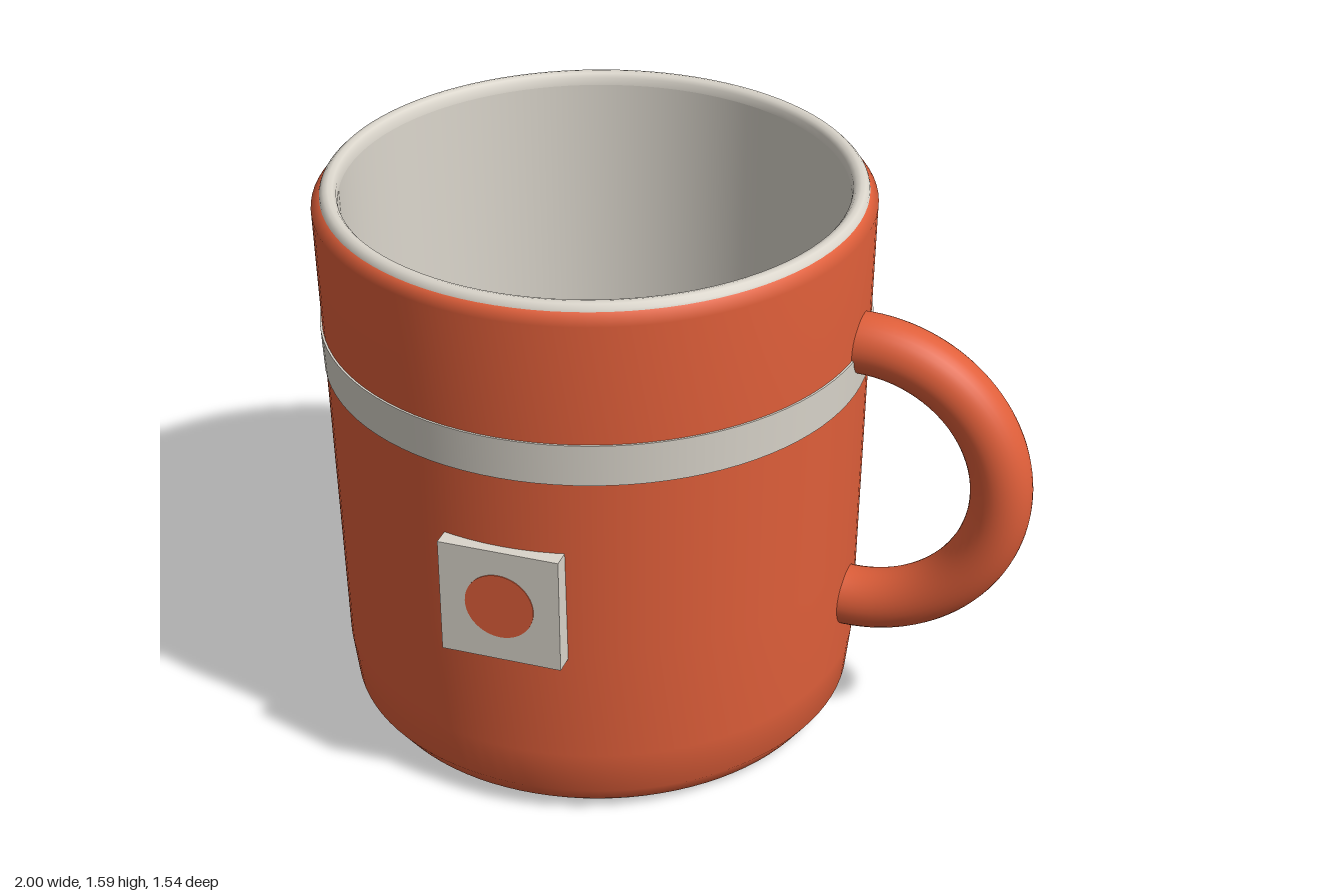
import * as THREE from 'three';

const CX = -0.24, CZ = -0.008; // axis of the cup

export function createModel() {
  const model = new THREE.Group();
  model.name = 'mug';
  const orange = new THREE.MeshStandardMaterial({ color: 0xe05f3a });
  orange.name = 'orange glaze';
  const cream = new THREE.MeshStandardMaterial({ color: 0xdad5cb });
  cream.name = 'cream glaze';

  const add = (name, geometry, material, x = CX, y = 0, z = CZ, parent = model) => {
    const mesh = new THREE.Mesh(geometry, material);
    mesh.name = name;
    mesh.position.set(x, y, z);
    parent.add(mesh);
    return mesh;
  };
  const lathe = (points) =>
    new THREE.LatheGeometry(points.map(([r, y]) => new THREE.Vector2(r, y)), 96);

  // Outer wall with bevelled foot and lip
  add('outerWall', lathe([
    [0.64, 0.018], [0.67, 0.02], [0.715, 0.08], [0.73, 0.21], [0.737, 0.55],
    [0.749, 1.1], [0.759, 1.54], [0.737, 1.57], [0.715, 1.572],
  ]), orange);

  // Base disc
  add('base', new THREE.CylinderGeometry(0.645, 0.645, 0.02, 96), cream, CX, 0.01);

  // Rounded rim running down into the lining and floor
  add('rim', lathe([
    [0.737, 1.565], [0.734, 1.577], [0.724, 1.587], [0.712, 1.59],
    [0.699, 1.586], [0.69, 1.575], [0.687, 1.555],
  ]), cream);
  add('lining', lathe([[0.687, 1.555], [0.672, 0.8], [0.66, 0.2], [0.64, 0.12], [0.6, 0.09]]), cream);
  const floor = add('floor', new THREE.CircleGeometry(0.602, 96), cream, CX, 0.09);
  floor.rotation.x = -Math.PI / 2;

  // Band around the upper body
  add('band', lathe([[0.745, 1.08], [0.752, 1.08]]), cream);
  add('bandFace', lathe([[0.752, 1.08], [0.757, 1.2]]), cream);
  add('bandTop', lathe([[0.757, 1.2], [0.748, 1.2]]), cream);

  // Ring handle whose capped ends pass through the wall
  const R = 0.405, r = 0.085, reach = Math.PI / 2 + 0.4;
  const handle = new THREE.Group();
  handle.name = 'handle';
  handle.position.set(0.51, 0.81, CZ);
  model.add(handle);
  const loop = add('handleLoop', new THREE.TorusGeometry(R, r, 32, 72, reach * 2), orange, 0, 0, 0, handle);
  loop.rotation.z = -reach;
  for (const s of [1, -1]) {
    const a = s * reach;
    const cap = add('handleEnd', new THREE.CircleGeometry(r, 32), orange,
      R * Math.cos(a), R * Math.sin(a), 0, handle);
    cap.lookAt(
      handle.position.x + R * Math.cos(a) - s * Math.sin(a),
      handle.position.y + R * Math.sin(a) + s * Math.cos(a),
      handle.position.z,
    );
  }

  // Square badge with a round dot
  add('badge', new THREE.BoxGeometry(0.335, 0.335, 0.07), cream, CX, 0.7, 0.731);
  const dot = add('badgeDot', new THREE.CylinderGeometry(0.096, 0.096, 0.003, 48), orange, CX, 0.7, 0.767);
  dot.rotation.x = Math.PI / 2;

  return model;
}
